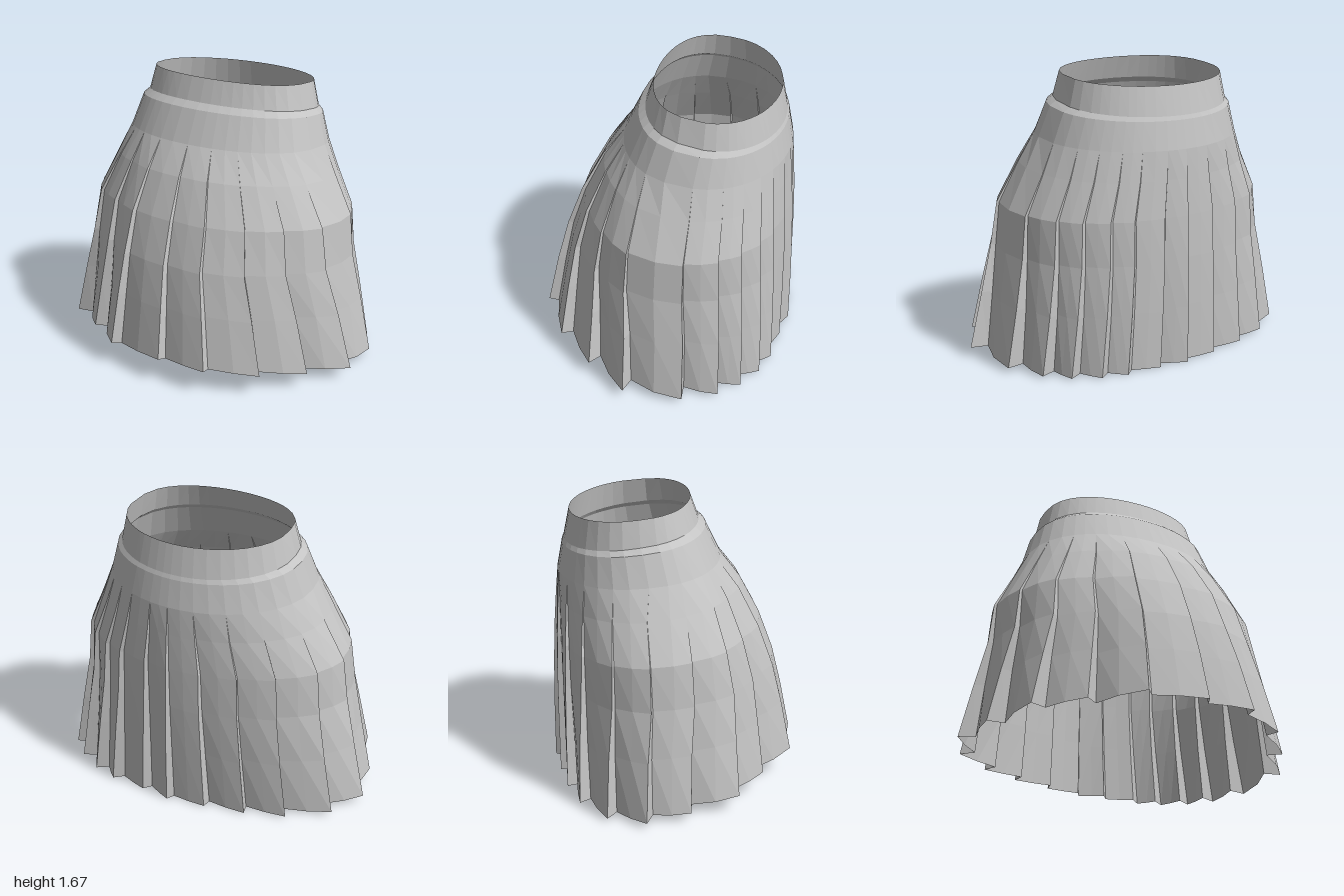
import * as THREE from 'three';

// Rings from waist to hem: half width, front z, back z, height at z = 0, tilt, pleat strength
const RINGS = [
  [0.495, 0.10, -0.61, 1.665, 0.10, 0],
  [0.53, 0.15, -0.645, 1.52, 0.13, 0],
  [0.565, 0.19, -0.655, 1.485, 0.11, 0],
  [0.62, 0.28, -0.685, 1.30, 0.07, 0],
  [0.70, 0.40, -0.70, 1.13, 0.07, 0.3],
  [0.82, 0.52, -0.715, 0.90, 0.05, 0.5],
  [0.85, 0.61, -0.725, 0.65, 0.05, 0.65],
  [0.92, 0.67, -0.73, 0.38, 0.08, 0.85],
  [1.0, 0.73, -0.73, 0.06, 0.10, 1],
];

// Outer corner of every pleat at the hem (x, z), running front, left, back, right
const CORNERS = [
  [0.10, 0.73], [0.40, 0.71], [0.67, 0.54], [0.85, 0.31], [1.0, 0.06], [0.95, -0.28], [0.84, -0.47],
  [0.72, -0.58], [0.57, -0.66], [0.42, -0.70], [0.20, -0.71], [0.02, -0.73], [-0.21, -0.69],
  [-0.45, -0.64], [-0.68, -0.56], [-0.90, -0.40], [-1.0, -0.18], [-0.93, 0.07], [-0.79, 0.35],
  [-0.53, 0.51], [-0.26, 0.70],
];

// Each pleat as an angle and a radius factor, plus how far its fold steps in
const PLEATS = CORNERS.map(([x, z], i) => {
  let t = Math.atan2(x, z / 0.73);
  if (i > 0 && t < 0) t += Math.PI * 2;
  return { t, s: Math.hypot(x, z / 0.73), d: 0.06 + 0.045 * Math.abs(Math.sin(t)) };
});

// Point on a ring at angle t and radius factor s
function ringPoint(r, t, s) {
  const [w, zf, zb, y, tilt, p] = RINGS[r];
  const zc = (zf + zb) / 2, hz = (zf - zb) / 2;
  // side pleats stay upright although the waist sits further back than the hem
  const sin = Math.sin(t);
  const shift = t - (1 - p) * (0.32 * sin * Math.abs(sin) + 0.08 * Math.max(0, Math.cos(t)));
  let c = Math.cos(shift);
  if (c > 0) c = Math.pow(c, 0.7 + 0.3 * r / 8); // squarer front near the waist
  const x = w * s * Math.sin(shift), z = zc + hz * s * c;
  return [x, y + tilt * z + 0.04 * p * z * z, z];
}

// Ring vertices: corner, folded-in corner and panel middle for each pleat
function ringVertices(r, folded) {
  const p = RINGS[r][5], out = [];
  PLEATS.forEach((a, i) => {
    const last = i === PLEATS.length - 1;
    const b = PLEATS[(i + 1) % PLEATS.length];
    const bt = b.t + (last ? Math.PI * 2 : 0);
    const sa = 1 + (a.s - 1) * p, sb = 1 + (b.s - 1) * p;
    const fold = Math.pow(p, 1 + 1.5 * Math.sin(a.t) ** 2); // side pleats open lower down
    const innerT = a.t + 0.025 * fold, innerS = sa - a.d * fold;
    out.push(ringPoint(r, a.t, sa));
    if (folded) out.push(ringPoint(r, innerT, innerS));
    out.push(ringPoint(r, (innerT + bt) / 2, (innerS + sb) / 2));
  });
  return out;
}

// Skin between consecutive rings
function skirtPart(name, from, to, folded, material) {
  const positions = [], index = [];
  let n = 0;
  for (let r = from; r <= to; r++) {
    const ring = ringVertices(r, folded);
    n = ring.length;
    ring.forEach((v) => positions.push(...v));
  }
  for (let r = 0; r < to - from; r++) {
    for (let j = 0; j < n; j++) {
      const k = (j + 1) % n;
      const a = r * n + j, b = r * n + k, c = a + n, d = b + n;
      index.push(a, c, d);
      // folds close to a point at the top of the pleats
      if (!(folded && r === 0 && j % 3 === 0)) index.push(a, d, b);
    }
  }
  const geometry = new THREE.BufferGeometry();
  geometry.setAttribute('position', new THREE.Float32BufferAttribute(positions, 3));
  geometry.setIndex(index);
  geometry.computeVertexNormals();
  const mesh = new THREE.Mesh(geometry, material);
  mesh.name = name;
  return mesh;
}

export function createModel() {
  const cloth = new THREE.MeshStandardMaterial({ color: 0xc4c4c4, side: THREE.DoubleSide, flatShading: true });
  cloth.name = 'greyCloth';

  const skirt = new THREE.Group();
  skirt.name = 'pleatedSkirt';
  skirt.add(
    skirtPart('waistband', 0, 1, false, cloth),
    skirtPart('waistSeam', 1, 2, false, cloth),
    skirtPart('hipYoke', 2, 3, false, cloth),
    skirtPart('pleats', 3, 8, true, cloth),
  );
  return skirt;
}
